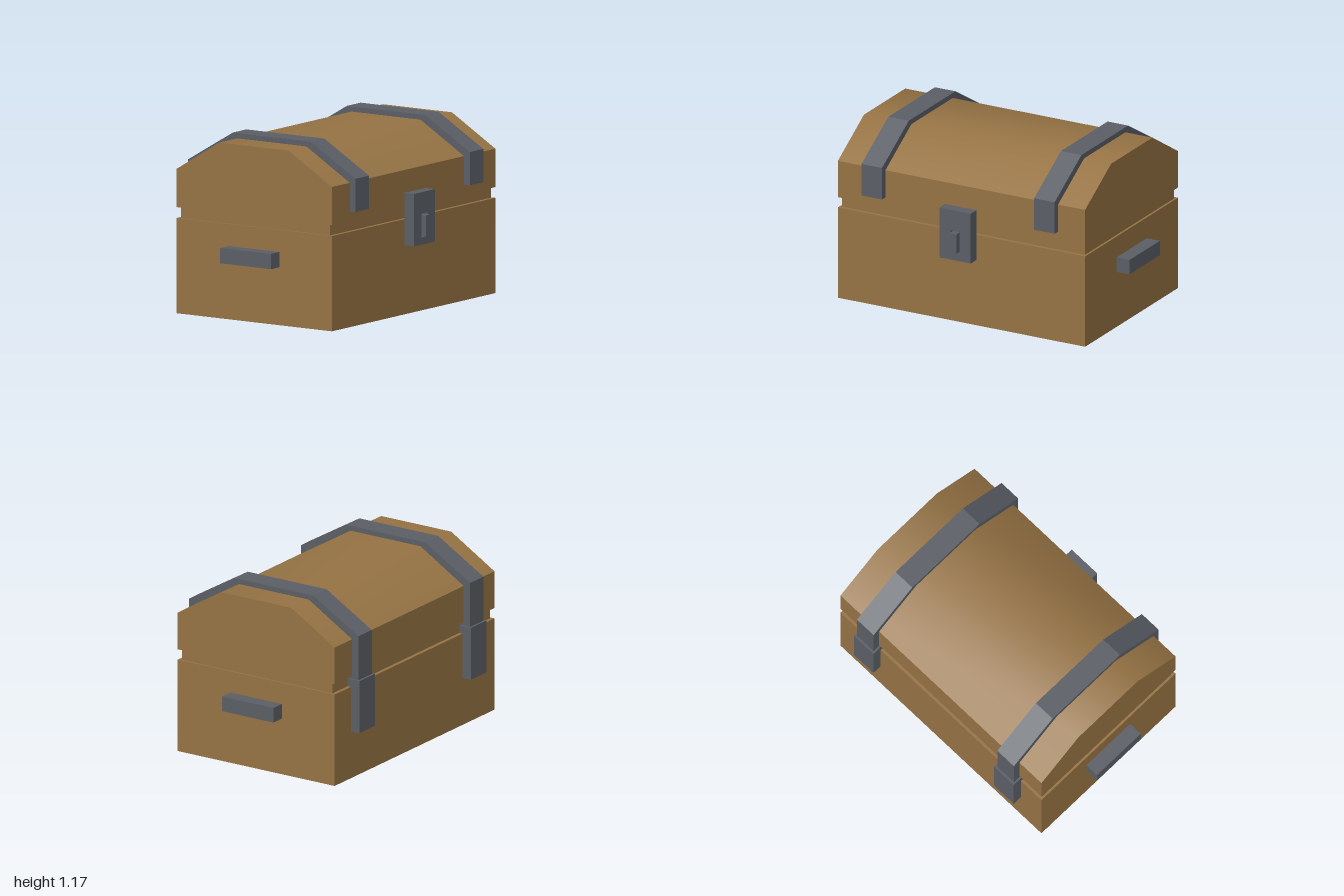
import * as THREE from 'three';
import { toCreasedNormals } from 'three/addons/utils/BufferGeometryUtils.js';

const wood = new THREE.MeshStandardMaterial({ name: 'wood', color: 0x967344 });
const metal = new THREE.MeshStandardMaterial({ name: 'iron', color: 0x5b5f66 });

export function createModel() {
  const chest = new THREE.Group();
  chest.name = 'chest';

  const add = (name, geometry, material) => {
    const mesh = new THREE.Mesh(geometry, material);
    mesh.name = name;
    chest.add(mesh);
    return mesh;
  };

  // Box given by its limits on each axis
  const block = (name, material, [x0, x1], [y0, y1], [z0, z1]) => {
    const geometry = new THREE.BoxGeometry(x1 - x0, y1 - y0, z1 - z0);
    geometry.translate((x0 + x1) / 2, (y0 + y1) / 2, (z0 + z1) / 2);
    return add(name, geometry, material);
  };

  // Side profile of [z, y] points, extruded along x
  const profile = (points, x0, x1) => {
    const shape = new THREE.Shape(points.map(([z, y]) => new THREE.Vector2(-z, y)));
    const geometry = new THREE.ExtrudeGeometry(shape, { depth: x1 - x0, bevelEnabled: false });
    geometry.rotateY(Math.PI / 2);
    geometry.translate(x0, 0, 0);
    return geometry;
  };

  // Wooden body with a recessed seam under the lid
  block('base', wood, [-0.905, 0.905], [0, 0.617], [-0.63, 0.585]);
  block('seam', wood, [-0.89, 0.89], [0.6, 0.7], [-0.605, 0.56]);

  // Lid with a sloped roof, smooth over the folds and sharp at the walls
  const roof = [[0.585, 0.935], [0.245, 1.138], [-0.295, 1.138], [-0.63, 0.935]];
  const lid = profile([[0.585, 0.687], ...roof, [-0.63, 0.687]], -0.905, 0.905);
  add('lid', toCreasedNormals(lid, 0.62), wood);

  // Iron straps over the lid, hinge plates behind, handles at the ends
  const strap = [
    [0.63, 0.75], [0.63, 0.965], [0.28, 1.172], [-0.33, 1.172], [-0.68, 0.965], [-0.68, 0.64],
    [-0.605, 0.64], [-0.605, 0.92], [-0.295, 1.12], [0.245, 1.12], [0.575, 0.92], [0.575, 0.75],
  ];
  for (const side of [-1, 1]) {
    const span = (a, b) => (side > 0 ? [a, b] : [-b, -a]);
    const word = side > 0 ? 'left' : 'right';
    add(word + 'Strap', profile(strap, ...span(0.557, 0.707)), metal);
    block(word + 'Hinge', metal, span(0.543, 0.72), [0.317, 0.668], [-0.695, -0.605]);
    block(word + 'Handle', metal, span(0.9, 1), [0.376, 0.475], [-0.222, 0.175]);
  }

  // Clasp plate with a slot
  const plate = new THREE.Shape();
  plate.moveTo(-0.115, 0.45).lineTo(0.115, 0.45).lineTo(0.115, 0.79).lineTo(-0.115, 0.79).closePath();
  const slot = new THREE.Path();
  slot.moveTo(-0.034, 0.498).lineTo(-0.034, 0.65).lineTo(0.034, 0.65).lineTo(0.034, 0.498).closePath();
  plate.holes.push(slot);
  const clasp = new THREE.ExtrudeGeometry(plate, { depth: 0.076, bevelEnabled: false });
  clasp.translate(0, 0, 0.594);
  add('clasp', clasp, metal);

  // Staple passing through the slot
  block('staple', metal, [-0.025, 0.025], [0.507, 0.641], [0.55, 0.698]);

  return chest;
}
